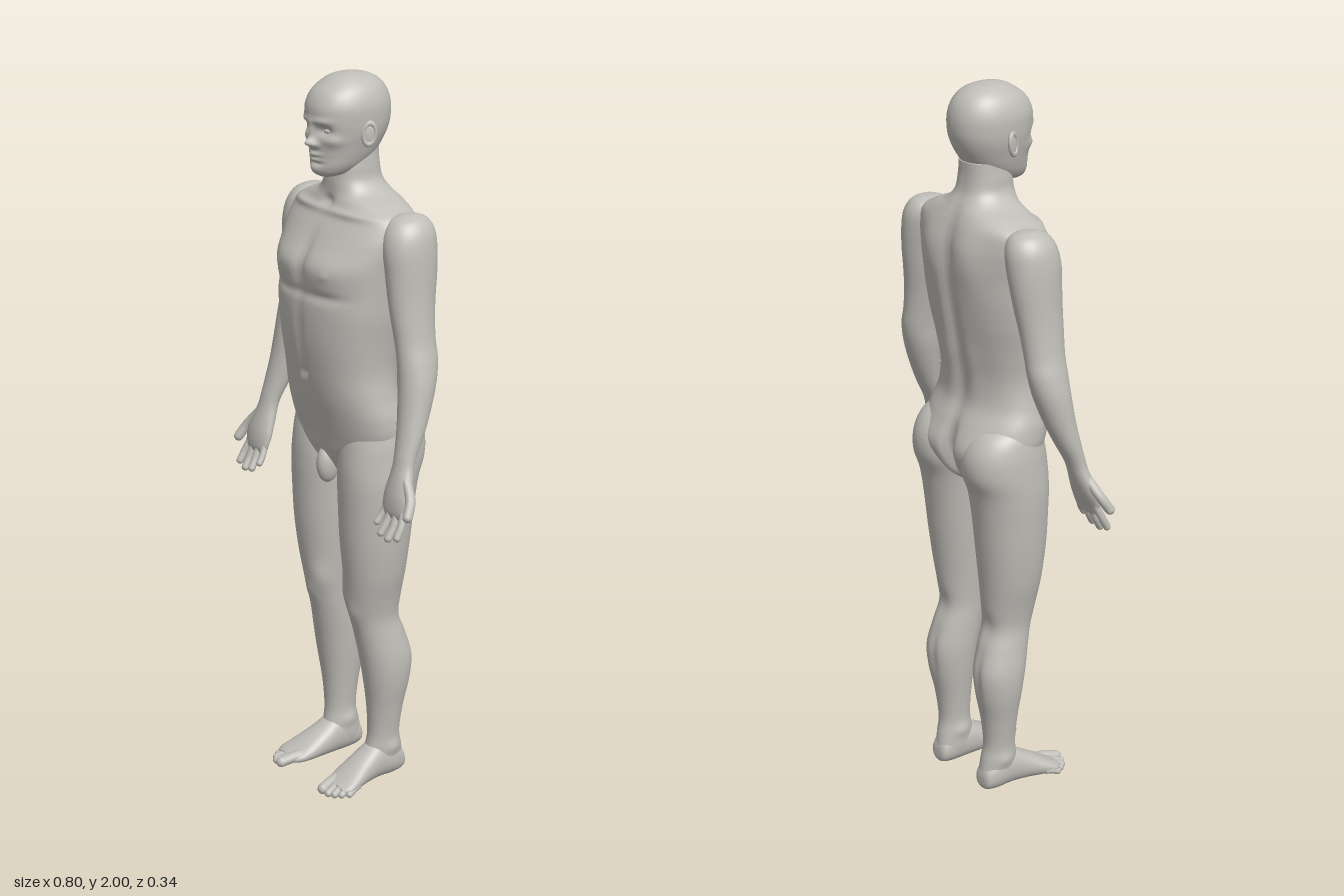
import * as THREE from 'three';
import { mergeGeometries } from 'three/addons/utils/BufferGeometryUtils.js';

const skin = new THREE.MeshStandardMaterial({ color: 0xbfbdb7 });
skin.name = 'stone grey';

// Smooth interpolation through the rows of a table, t from 0 to 1
function sample(rows, t) {
  const f = t * (rows.length - 1), i = Math.min(Math.floor(f), rows.length - 2), u = f - i;
  const row = k => rows[Math.max(0, Math.min(rows.length - 1, k))];
  return rows[i].map((b, k) => {
    const a = row(i - 1)[k], c = row(i + 1)[k], d = row(i + 2)[k];
    return b + 0.5 * u * (c - a + u * (2 * a - 5 * b + 4 * c - d + u * (3 * (b - c) + d - a)));
  });
}

// Loft through horizontal rounded sections [y, xMin, xMax, zMin, zMax], listed from the bottom up.
// A bump [x, y, z, rx, ry, rz, dx, dy, dz] pushes the nearby surface by (dx, dy, dz).
function loft(rows, { segs = 40, rings = 60, power = 2, bumps = [] } = {}) {
  const pos = [], idx = [], p = new THREE.Vector3();
  for (let i = 0; i <= rings; i++) {
    const [y, x0, x1, z0, z1] = sample(rows, i / rings);
    for (let j = 0; j < segs; j++) {
      const a = (j / segs) * Math.PI * 2, c = Math.cos(a), s = Math.sin(a);
      p.set((x0 + x1) / 2 + (x1 - x0) / 2 * Math.sign(c) * Math.abs(c) ** (2 / power), y,
        (z0 + z1) / 2 + (z1 - z0) / 2 * Math.sign(s) * Math.abs(s) ** (2 / power));
      const { x, y: py, z } = p;
      for (const [bx, by, bz, rx, ry, rz, dx, dy, dz] of bumps) {
        const w = Math.exp(-(((x - bx) / rx) ** 2) - ((py - by) / ry) ** 2 - ((z - bz) / rz) ** 2);
        p.x += dx * w; p.y += dy * w; p.z += dz * w;
      }
      pos.push(p.x, p.y, p.z);
    }
  }
  for (let i = 0; i < rings; i++) for (let j = 0; j < segs; j++) {
    const a = i * segs + j, b = i * segs + (j + 1) % segs;
    idx.push(a, a + segs, b, b, a + segs, b + segs);
  }
  // End caps
  for (const [row, start, up] of [[rows[0], 0, false], [rows[rows.length - 1], rings * segs, true]]) {
    const centre = pos.length / 3;
    pos.push((row[1] + row[2]) / 2, row[0], (row[3] + row[4]) / 2);
    for (let j = 0; j < segs; j++) {
      const a = start + j, b = start + (j + 1) % segs;
      idx.push(centre, up ? b : a, up ? a : b);
    }
  }
  const g = new THREE.BufferGeometry();
  g.setAttribute('position', new THREE.Float32BufferAttribute(pos, 3));
  g.setIndex(idx);
  g.computeVertexNormals();
  return g;
}

const half = rows => rows.map(([y, w, z0, z1]) => [y, -w, w, z0, z1]);
const sided = (rows, s) => rows.map(([y, a, b, z0, z1]) => (s > 0 ? [y, a, b, z0, z1] : [y, -b, -a, z0, z1]));
const flipBump = ([x, y, z, rx, ry, rz, dx, dy, dz]) => [-x, y, z, rx, ry, rz, -dx, dy, dz];
const pairs = bumps => bumps.flatMap(b => [b, flipBump(b)]);

// Round digit along a curve with a rounded tip
function digit(points, r) {
  const curve = new THREE.CatmullRomCurve3(points.map(q => new THREE.Vector3(...q)));
  const tip = new THREE.SphereGeometry(r, 12, 8).translate(...points[points.length - 1]);
  return mergeGeometries([new THREE.TubeGeometry(curve, 10, r, 12), tip]);
}

function ellipsoid(x, y, z, rx, ry, rz) {
  return new THREE.SphereGeometry(1, 24, 16).scale(rx, ry, rz).translate(x, y, z);
}

const torsoRows = half([
  [0.89, 0.03, -0.06, 0.02], [0.93, 0.085, -0.12, 0.055], [0.98, 0.15, -0.15, 0.08],
  [1.03, 0.19, -0.155, 0.092], [1.09, 0.194, -0.135, 0.108], [1.15, 0.183, -0.108, 0.124],
  [1.22, 0.175, -0.105, 0.138], [1.3, 0.182, -0.12, 0.15], [1.38, 0.194, -0.137, 0.154],
  [1.45, 0.2, -0.148, 0.15], [1.51, 0.205, -0.152, 0.147], [1.56, 0.212, -0.15, 0.124],
  [1.6, 0.214, -0.146, 0.1], [1.64, 0.205, -0.137, 0.072], [1.668, 0.155, -0.127, 0.058],
  [1.69, 0.1, -0.116, 0.052], [1.72, 0.072, -0.1, 0.05], [1.76, 0.066, -0.092, 0.046], [1.8, 0.062, -0.09, 0.04],
]);
const torsoBumps = [
  [0, 1.53, 0.15, 0.018, 0.08, 0.06, 0, 0, -0.012],  // breastbone groove
  [0, 1.32, 0.15, 0.012, 0.1, 0.06, 0, 0, -0.005],   // midline of the belly
  [0, 1.21, 0.14, 0.01, 0.012, 0.04, 0, 0, -0.012],  // navel
  [0, 1.665, 0.06, 0.02, 0.015, 0.04, 0, 0, -0.01],  // throat notch
  [0, 1.4, -0.14, 0.02, 0.22, 0.07, 0, 0, 0.018],    // spine
  [0, 0.99, -0.16, 0.018, 0.08, 0.08, 0, 0, 0.045],  // cleft
  ...pairs([
    [0.085, 1.51, 0.14, 0.075, 0.055, 0.07, 0, 0, 0.012],   // chest muscle
    [0.085, 1.435, 0.15, 0.08, 0.013, 0.06, 0, 0, -0.008],  // crease below it
    [0.1, 1.495, 0.14, 0.008, 0.008, 0.05, 0, 0, 0.004],    // nipple
    [0.1, 1.645, 0.06, 0.09, 0.009, 0.05, 0, 0.003, 0.008], // collarbone
    [0.075, 1.57, -0.15, 0.055, 0.08, 0.06, 0, 0, -0.014],  // shoulder blade
    [0.05, 1.25, -0.11, 0.03, 0.1, 0.05, 0, 0, -0.007],     // lower back muscle
    [0.09, 1.02, -0.15, 0.06, 0.06, 0.06, 0, 0, -0.012],    // buttock
  ]),
];

const headRows = half([
  [1.735, 0.022, 0.03, 0.08], [1.745, 0.044, -0.01, 0.093], [1.765, 0.06, -0.05, 0.1], [1.79, 0.071, -0.08, 0.1],
  [1.82, 0.08, -0.102, 0.103], [1.85, 0.088, -0.117, 0.106], [1.88, 0.092, -0.125, 0.11], [1.92, 0.092, -0.125, 0.11],
  [1.955, 0.081, -0.113, 0.093], [1.98, 0.061, -0.09, 0.062], [1.994, 0.036, -0.058, 0.034], [2, 0.006, -0.016, -0.004],
]);
const headBumps = [
  [0, 1.828, 0.11, 0.013, 0.012, 0.05, 0, 0, 0.024],   // nose tip
  [0, 1.855, 0.11, 0.01, 0.025, 0.05, 0, 0, 0.013],    // nose bridge
  [0, 1.797, 0.1, 0.022, 0.006, 0.04, 0, 0, 0.009],    // upper lip
  [0, 1.783, 0.1, 0.018, 0.006, 0.04, 0, 0, 0.008],    // lower lip
  [0, 1.773, 0.1, 0.025, 0.005, 0.04, 0, 0, -0.005],   // dip over the chin
  [0, 1.755, 0.1, 0.022, 0.014, 0.04, 0, 0, 0.008],    // chin
  ...pairs([
    [0.035, 1.862, 0.1, 0.02, 0.014, 0.05, 0, 0, -0.014], // eye socket
    [0.033, 1.886, 0.1, 0.028, 0.009, 0.05, 0, 0, 0.006], // brow
    [0.055, 1.835, 0.08, 0.02, 0.015, 0.04, 0.004, 0, 0.005], // cheekbone
    [0.014, 1.823, 0.11, 0.007, 0.007, 0.04, 0, 0, 0.008], // nostril wing
  ]),
];

const armRows = [
  [0.882, 0.276, 0.352, 0.065, 0.086], [0.9, 0.266, 0.36, 0.058, 0.09], [0.935, 0.263, 0.364, 0.043, 0.087],
  [0.97, 0.267, 0.355, 0.03, 0.078], [1.01, 0.272, 0.341, 0.017, 0.066], [1.04, 0.27, 0.337, 0.005, 0.059],
  [1.09, 0.258, 0.336, -0.022, 0.047], [1.15, 0.244, 0.332, -0.05, 0.036], [1.22, 0.229, 0.327, -0.076, 0.028],
  [1.28, 0.222, 0.316, -0.09, 0.025], [1.33, 0.212, 0.303, -0.092, 0.025], [1.39, 0.198, 0.294, -0.097, 0.029],
  [1.45, 0.184, 0.288, -0.106, 0.032], [1.51, 0.173, 0.285, -0.115, 0.034], [1.57, 0.16, 0.281, -0.12, 0.036],
  [1.615, 0.155, 0.272, -0.117, 0.026], [1.645, 0.165, 0.252, -0.1, 0.004], [1.658, 0.19, 0.225, -0.07, -0.03],
];
const legRows = [
  [0.02, 0.066, 0.132, -0.114, -0.01], [0.05, 0.058, 0.138, -0.118, 0], [0.09, 0.058, 0.141, -0.112, -0.002],
  [0.14, 0.061, 0.142, -0.103, -0.01], [0.22, 0.054, 0.153, -0.111, -0.007], [0.3, 0.045, 0.167, -0.128, 0.004],
  [0.37, 0.039, 0.171, -0.134, 0.016], [0.44, 0.036, 0.163, -0.116, 0.03], [0.5, 0.034, 0.157, -0.097, 0.043],
  [0.56, 0.03, 0.166, -0.1, 0.056], [0.64, 0.022, 0.184, -0.108, 0.067], [0.74, 0.014, 0.197, -0.119, 0.077],
  [0.84, 0.008, 0.204, -0.13, 0.081], [0.91, 0.005, 0.207, -0.143, 0.083], [0.97, 0.005, 0.205, -0.166, 0.081],
  [1.03, 0.012, 0.2, -0.163, 0.072], [1.08, 0.035, 0.186, -0.13, 0.055], [1.115, 0.07, 0.15, -0.07, 0.02],
];
const legBumps = [
  [0.097, 0.52, 0.045, 0.028, 0.032, 0.04, 0, 0, 0.007],  // kneecap
  [0.06, 0.57, 0.04, 0.03, 0.04, 0.04, -0.004, 0, 0.006], // inner thigh muscle
  [0.1, 0.5, -0.1, 0.025, 0.04, 0.04, 0, 0, 0.006],       // hollow of the knee
  [0.1, 0.36, -0.13, 0.012, 0.07, 0.04, 0, 0, 0.006],     // calf groove
  [0.06, 0.105, -0.06, 0.02, 0.018, 0.025, -0.006, 0, 0], // inner ankle bone
  [0.14, 0.095, -0.065, 0.02, 0.018, 0.025, 0.006, 0, 0], // outer ankle bone
];
// Foot sections run from heel to toe: [z, xMin, xMax, -top, -bottom]
const footRows = [
  [-0.12, 0.085, 0.115, -0.045, -0.02], [-0.112, 0.07, 0.13, -0.07, -0.006], [-0.08, 0.061, 0.14, -0.1, 0],
  [-0.03, 0.057, 0.142, -0.113, 0], [0.02, 0.056, 0.15, -0.087, 0], [0.07, 0.058, 0.163, -0.058, 0],
  [0.105, 0.066, 0.168, -0.038, -0.002], [0.125, 0.08, 0.155, -0.028, -0.006],
];
const fingers = [ // base, middle, tip, radius
  ['indexFinger', [0.349, 0.91, 0.07], [0.358, 0.87, 0.087], [0.36, 0.843, 0.102], 0.0105],
  ['middleFinger', [0.326, 0.905, 0.072], [0.329, 0.86, 0.09], [0.328, 0.833, 0.106], 0.011],
  ['ringFinger', [0.302, 0.905, 0.073], [0.3, 0.866, 0.09], [0.297, 0.839, 0.106], 0.0105],
  ['littleFinger', [0.28, 0.91, 0.072], [0.273, 0.88, 0.085], [0.27, 0.86, 0.098], 0.0095],
  ['thumb', [0.335, 0.985, 0.052], [0.372, 0.94, 0.068], [0.386, 0.905, 0.088], 0.0135],
];
const toes = [ // base x and z, tip x and z, radius
  [0.084, 0.09, 0.1, 0.153, 0.0155], [0.108, 0.1, 0.124, 0.152, 0.011], [0.126, 0.095, 0.14, 0.142, 0.0105],
  [0.141, 0.085, 0.153, 0.127, 0.01], [0.153, 0.07, 0.163, 0.108, 0.01],
];

export function createModel() {
  const figure = new THREE.Group();
  figure.name = 'standingFigure';
  const add = (name, geometry, parent = figure) => {
    const mesh = new THREE.Mesh(geometry, skin);
    mesh.name = name;
    parent.add(mesh);
    return mesh;
  };

  add('torsoAndNeck', loft(torsoRows, { segs: 112, rings: 150, power: 2.3, bumps: torsoBumps }));
  add('head', loft(headRows, { segs: 112, rings: 110, power: 2.15, bumps: headBumps }));
  add('groin', ellipsoid(0, 0.935, 0.06, 0.026, 0.055, 0.034));

  for (const s of [1, -1]) {
    const side = new THREE.Group();
    side.name = s > 0 ? 'leftSide' : 'rightSide';
    figure.add(side);
    const flip = ([x, y, z]) => [s * x, y, z];

    // Face details
    add('eye', ellipsoid(s * 0.034, 1.861, 0.079, 0.014, 0.009, 0.013), side);
    const ear = add('ear', mergeGeometries([
      new THREE.TorusGeometry(0.021, 0.006, 10, 24).scale(0.8, 1.3, 1),
      ellipsoid(0, 0, 0, 0.017, 0.027, 0.005),
    ]), side);
    ear.position.set(s * 0.094, 1.852, -0.006);
    ear.rotation.set(-0.12, s * (Math.PI / 2 - 0.4), 0);

    // Arm and hand
    add('armAndPalm', loft(sided(armRows, s), { segs: 40, rings: 90 }), side);
    for (const [name, a, b, c, r] of fingers) add(name, digit([a, b, c].map(flip), r), side);

    // Leg and foot
    const bumps = s > 0 ? legBumps : legBumps.map(flipBump);
    add('leg', loft(sided(legRows, s), { segs: 56, rings: 100, power: 2.1, bumps }), side);
    add('foot', loft(sided(footRows, s), { segs: 40, rings: 40, power: 2.2 }).rotateX(Math.PI / 2), side);
    for (const [x0, z0, x1, z1, r] of toes) {
      add('toe', digit([[x0, r + 0.01, z0], [(x0 + x1) / 2, r + 0.007, (z0 + z1) / 2], [x1, r, z1]].map(flip), r), side);
    }
  }
  return figure;
}
